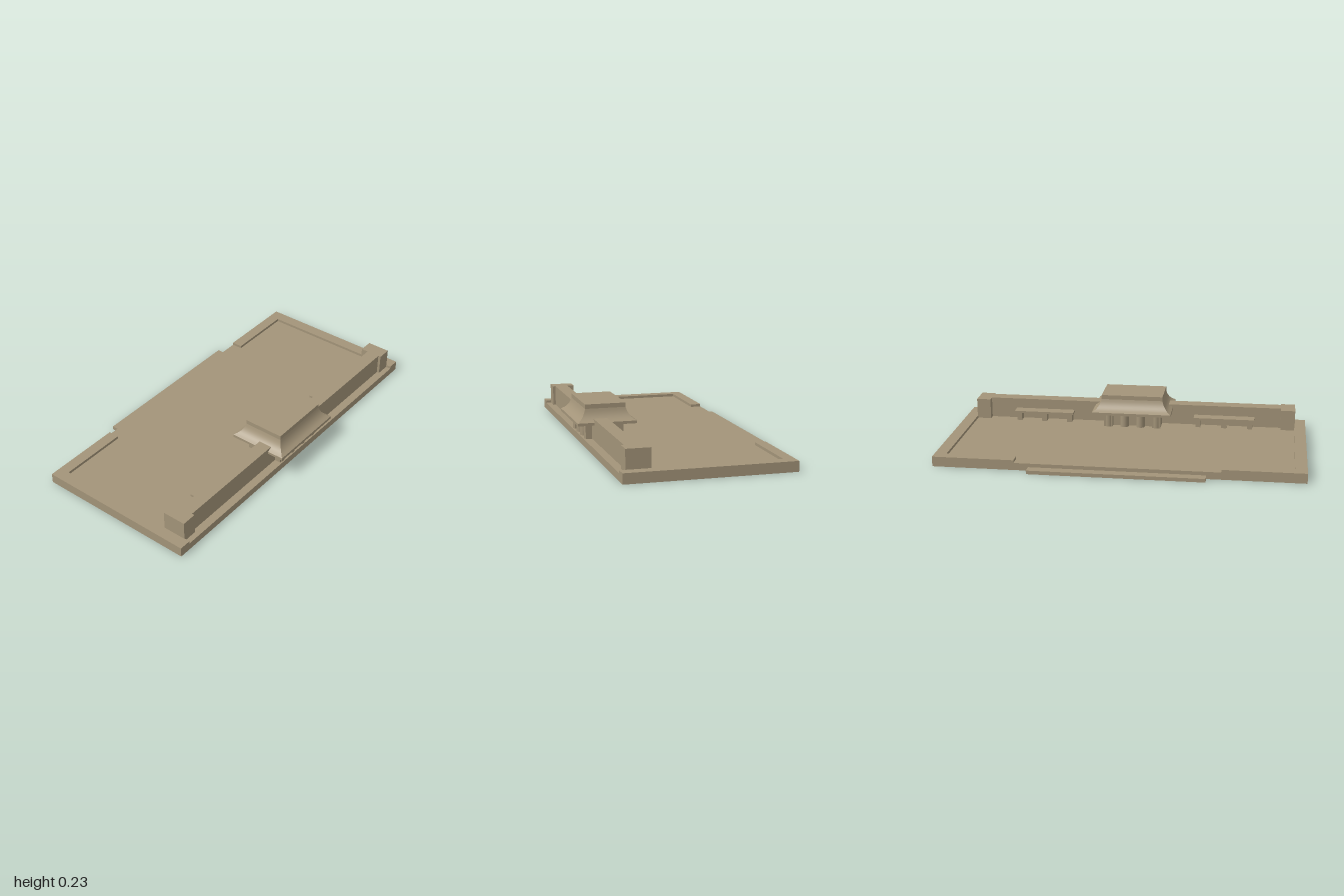
import * as THREE from 'three';

const stone = new THREE.MeshStandardMaterial({ color: 0xa39479 });
stone.name = 'sandstone';

const FLOOR = 0.04;

export function createModel() {
  const model = new THREE.Group();
  model.name = 'courtyard';

  const add = (name, geometry, parent = model) => {
    const mesh = new THREE.Mesh(geometry, stone);
    mesh.name = name;
    parent.add(mesh);
    return mesh;
  };
  // Box given by its extents on each axis
  const box = (name, x0, x1, y0, y1, z0, z1, parent) =>
    add(name, new THREE.BoxGeometry(x1 - x0, y1 - y0, z1 - z0), parent)
      .position.set((x0 + x1) / 2, (y0 + y1) / 2, (z0 + z1) / 2);
  // Same box on both sides of x = 0
  const pair = (name, x0, x1, ...rest) => {
    box(name + 'Left', x0, x1, ...rest);
    box(name + 'Right', -x1, -x0, ...rest);
  };

  // Platform, raised rim and rear step
  box('platform', -1, 1, 0, FLOOR, -0.445, 0.45);
  pair('sideRim', 0.935, 1, FLOOR, 0.055, -0.445, 0.45);
  pair('backRim', 0.553, 0.935, FLOOR, 0.055, -0.445, -0.385);
  box('rearStep', -0.475, 0.475, 0, 0.02, -0.497, -0.445);

  // Front wall with end towers
  pair('wall', 0.16, 0.857, FLOOR, 0.157, 0.33, 0.405);
  pair('tower', 0.857, 0.938, FLOOR, 0.157, 0.29, 0.42);

  // Benches behind the wall
  pair('benchSeat', 0.355, 0.705, 0.088, 0.1, 0.265, 0.33);
  for (const x of [0.38, 0.53, 0.68]) {
    pair('benchLeg', x - 0.015, x + 0.015, FLOOR, 0.088, 0.28, 0.33);
  }

  // Gatehouse body: recessed core, side walls and rounded columns
  const gatehouse = new THREE.Group();
  gatehouse.name = 'gatehouse';
  model.add(gatehouse);
  box('core', -0.12, 0.12, FLOOR, 0.125, 0.26, 0.41, gatehouse);
  for (const s of [-1, 1]) {
    box('sideWall', s * 0.14 - 0.025, s * 0.14 + 0.025, FLOOR, 0.125, 0.23, 0.44, gatehouse);
  }
  for (const x of [-0.14, -0.047, 0.047, 0.14]) {
    for (const z of [0.25, 0.42]) {
      add('column', new THREE.CylinderGeometry(0.025, 0.025, 0.085, 20), gatehouse)
        .position.set(x, FLOOR + 0.0425, z);
    }
  }

  // Roof: eave slab, four concave slopes, flat cap
  const hx = 0.228, hz = 0.163, cz = 0.333;
  box('eave', -hx, hx, 0.125, 0.14, cz - hz, cz + hz, gatehouse);
  const curve = new THREE.SplineCurve([
    [0, 0.14], [0.02, 0.153], [0.035, 0.17], [0.045, 0.189], [0.051, 0.208],
  ].map(([a, b]) => new THREE.Vector2(a, b)));
  const slope = (halfWidth, halfDepth) => {
    const geometry = new THREE.PlaneGeometry(2, 1, 1, 10);
    const p = geometry.attributes.position;
    for (let i = 0; i < p.count; i++) {
      const c = curve.getPoint(p.getY(i) + 0.5);
      p.setXYZ(i, p.getX(i) * (halfWidth - c.x), c.y, halfDepth - c.x);
    }
    geometry.computeVertexNormals();
    return geometry;
  };
  for (let i = 0; i < 4; i++) {
    const side = add('roofSlope', i % 2 ? slope(hz, hx) : slope(hx, hz), gatehouse);
    side.rotation.y = i * Math.PI / 2;
    side.position.z = cz;
  }
  box('roofCap', -0.177, 0.177, 0.206, 0.232, cz - 0.112, cz + 0.112, gatehouse);

  return model;
}
